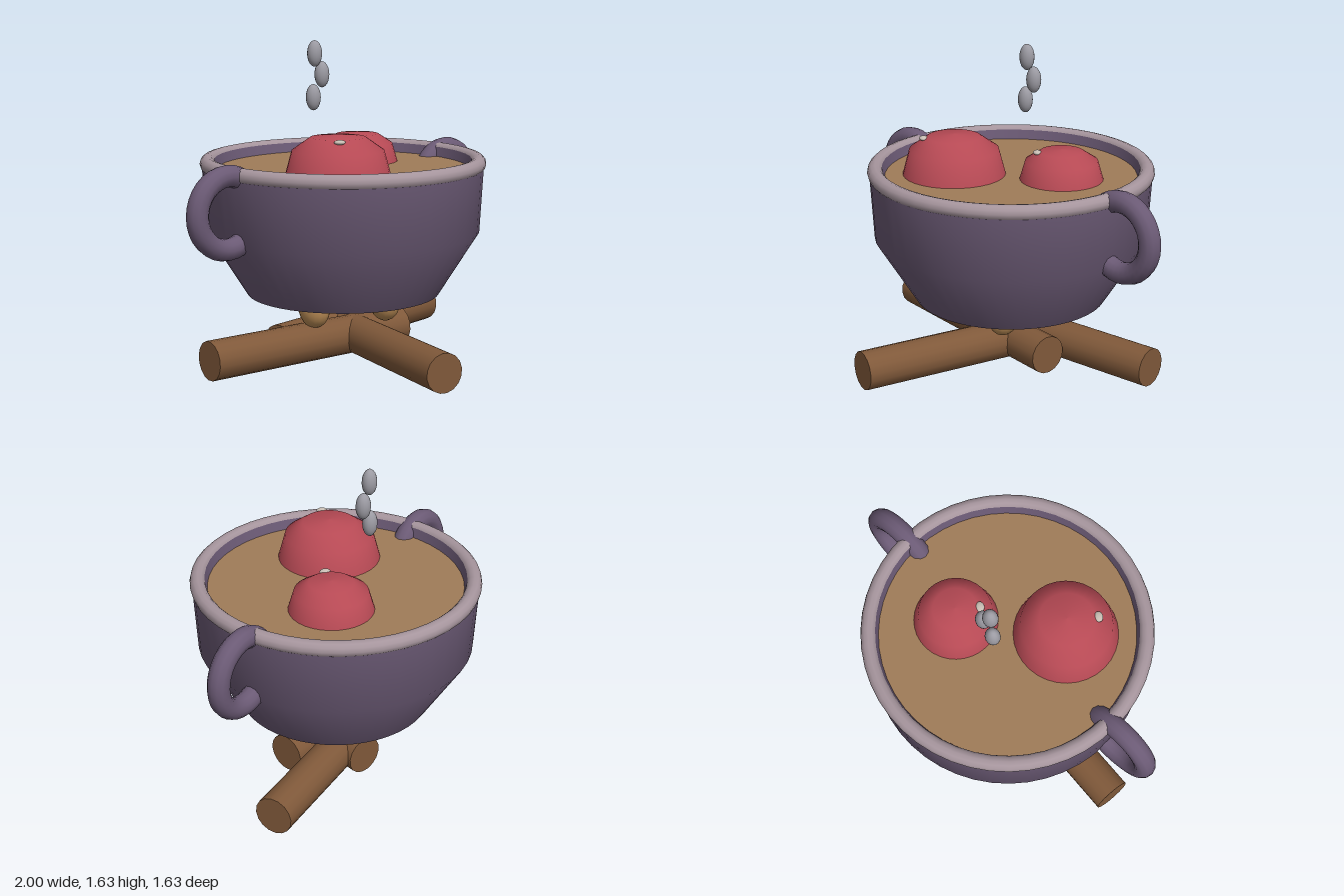
import * as THREE from 'three';

const V = (x, y) => new THREE.Vector2(x, y);
const mat = (color, side = THREE.FrontSide) =>
  new THREE.MeshStandardMaterial({ color, side });

export function createModel() {
  const root = new THREE.Group();
  const potZ = -0.085;
  const iron = mat(0x6b5a75, THREE.DoubleSide);
  const rimMat = mat(0xa6959d);
  const brothMat = mat(0xa07c58);
  const red = mat(0xb84a55);
  const shine = mat(0xc8beb4);
  const wood = mat(0x80593a);
  const flame = mat(0xb98b55);
  const steamMat = mat(0x9c9ba3);

  function add(name, geometry, material, x = 0, y = 0, z = 0) {
    const mesh = new THREE.Mesh(geometry, material);
    mesh.name = name;
    mesh.position.set(x, y, z);
    root.add(mesh);
    return mesh;
  }
  function ellipsoid(name, material, pos, radii) {
    const mesh = add(name, new THREE.SphereGeometry(1, 16, 12), material, ...pos);
    mesh.scale.set(...radii);
    return mesh;
  }

  // Pot body: tapered base, nearly upright wall
  add('potBody', new THREE.LatheGeometry(
    [V(0.5, 0.33), V(0.705, 0.66), V(0.725, 1.01)], 48), iron, 0, 0, potZ);
  const base = add('potBase', new THREE.CircleGeometry(0.5, 48), iron, 0, 0.33, potZ);
  base.rotation.x = Math.PI / 2;
  add('potInnerWall', new THREE.CylinderGeometry(0.66, 0.645, 0.06, 48, 1, true),
    iron, 0, 1.0, potZ);

  // Rim and broth surface
  const rim = add('rim', new THREE.TorusGeometry(0.695, 0.04, 12, 48), rimMat, 0, 1.01, potZ);
  rim.rotation.x = Math.PI / 2;
  const broth = add('broth', new THREE.CircleGeometry(0.65, 48), brothMat, 0, 0.98, potZ);
  broth.rotation.x = -Math.PI / 2;

  // Ring handles on both sides
  for (const s of [1, -1]) {
    add(s > 0 ? 'leftHandle' : 'rightHandle',
      new THREE.TorusGeometry(0.18, 0.055, 12, 32), iron, s * 0.765, 0.835, potZ);
  }

  // Floating red domes, each with a small highlight
  const domeProfile = [V(0.265, 0), V(0.23, 0.13), V(0.138, 0.195), V(0, 0.21)];
  const domes = [
    { pos: [-0.217, 0.98, 0.11], r: 1, h: 1, spot: [-0.317, 1.168, 0.23] },
    { pos: [0.23, 0.98, -0.22], r: 0.805, h: 0.74, spot: [0.15, 1.12, -0.125] },
  ];
  for (const d of domes) {
    const dome = add('dome', new THREE.LatheGeometry(domeProfile, 32), red, ...d.pos);
    dome.scale.set(d.r, d.h, d.r);
    ellipsoid('domeHighlight', shine, d.spot, [0.028, 0.012, 0.022]).rotation.y = -0.6;
  }

  // Steam puffs
  for (const [x, y] of [[-0.06, 1.335], [0, 1.45], [-0.05, 1.56]]) {
    ellipsoid('steamPuff', steamMat, [x, y, -0.245], [0.04, 0.068, 0.037]);
  }

  // Flames between the logs and the pot
  ellipsoid('flame', flame, [0.13, 0.28, 0.09], [0.073, 0.1, 0.09]);
  ellipsoid('flame', flame, [-0.235, 0.28, -0.05], [0.073, 0.1, 0.09]);

  // Crossed logs, given by the x and z of both ends
  const logs = [
    [-0.16, 0.79, 0.125, -0.36],
    [0.807, -0.285, -0.386, -0.155],
    [-0.84, -0.147, 0.345, -0.018],
  ];
  for (const [x1, z1, x2, z2] of logs) {
    const dir = new THREE.Vector3(x2 - x1, 0, z2 - z1);
    const log = add('log', new THREE.CylinderGeometry(0.1, 0.1, dir.length(), 16),
      wood, (x1 + x2) / 2, 0.1, (z1 + z2) / 2);
    log.quaternion.setFromUnitVectors(new THREE.Vector3(0, 1, 0), dir.normalize());
  }
  return root;
}
